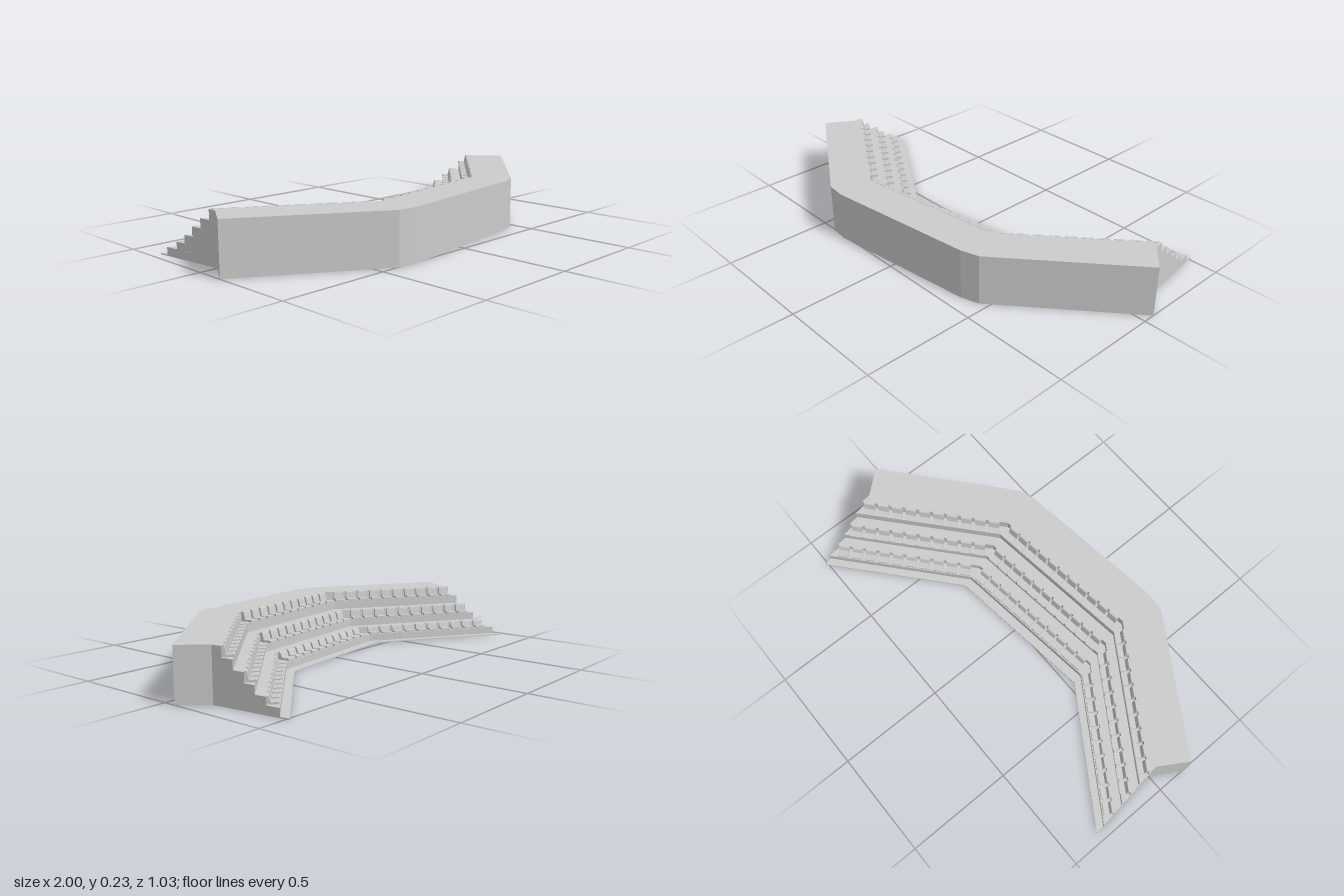
import * as THREE from 'three';

export function createModel() {
  const group = new THREE.Group();
  group.name = 'grandstand';
  const mat = new THREE.MeshStandardMaterial({ color: 0xcccccc, flatShading: true });

  // Plan of the lowest, innermost edge; every tier is this line shifted along "shift"
  const inner = [[-0.96, -0.345], [-0.38, 0.03], [0.33, -0.055], [0.86, -0.515]];
  const shift = [0.128, 1];
  const moved = (d) => inner.map(([x, z]) => [x + shift[0] * d, z + shift[1] * d]);
  // Outer wall with bevelled corners, including the bends in the end walls
  const outer = [[0.905, -0.165], [1, -0.055], [0.462, 0.403], [0.38, 0.429],
    [-0.325, 0.514], [-0.412, 0.505], [-1, 0.13], [-0.92, 0]];

  // Setback and top height of each tier
  const tiers = [[0, 0.005], [0.042, 0.038], [0.103, 0.07], [0.153, 0.106],
    [0.201, 0.148], [0.252, 0.189], [0.304, 0.233]];

  let base = 0;
  tiers.forEach(([d, top], i) => {
    const plan = [...moved(d), ...outer].map(([x, z]) => new THREE.Vector2(x, -z));
    const geo = new THREE.ExtrudeGeometry(new THREE.Shape(plan), { depth: top - base, bevelEnabled: false });
    geo.rotateX(-Math.PI / 2);
    const tier = new THREE.Mesh(geo, mat);
    tier.position.y = base;
    tier.name = `tier${i + 1}`;
    group.add(tier);
    base = top;
  });

  // Seat: low pad with a leaning back, extruded across its width
  const seatWidth = 0.05;
  function seatGeometry(height) {
    const side = [[0, 0], [0, 0.009], [0.004, 0.011], [0.036, 0.008], [0.044, height - 0.004],
      [0.047, height], [0.057, height], [0.057, 0]];
    const shape = new THREE.Shape(side.map(([z, y]) => new THREE.Vector2(z, y)));
    const geo = new THREE.ExtrudeGeometry(shape, { depth: seatWidth, bevelEnabled: false });
    // Profile runs along +z, width along x
    geo.translate(0, 0, -seatWidth / 2);
    geo.rotateY(-Math.PI / 2);
    return geo;
  }

  // Three rows of seats, on every second tier
  [1, 3, 5].forEach((t, r) => {
    const [d, floor] = tiers[t];
    const depth = tiers[t + 1][0] - d;
    const geo = seatGeometry(tiers[t + 1][1] - floor + 0.001);
    const row = new THREE.Group();
    row.name = `seatRow${r + 1}`;
    const line = moved(d);
    for (let s = 0; s < 3; s++) {
      const [ax, az] = line[s], [bx, bz] = line[s + 1];
      const len = Math.hypot(bx - ax, bz - az);
      const u = [(bx - ax) / len, (bz - az) / len];
      const n = [-u[1], u[0]];
      // Tier depth measured square to this section
      const square = shift[0] * n[0] + shift[1] * n[1];
      const count = s === 1 ? 11 : 10;
      const lean = shift[0] * u[0] + shift[1] * u[1];
      for (let i = 0; i < count; i++) {
        const along = 0.05 + ((len - 0.1) * i) / (count - 1) + lean * depth * 0.5;
        const seat = new THREE.Mesh(geo, mat);
        const back = depth * square - 0.056 * square;
        seat.position.set(ax + u[0] * along + n[0] * back, floor, az + u[1] * along + n[1] * back);
        seat.rotation.y = Math.atan2(-u[1], u[0]);
        seat.scale.z = square;
        seat.name = 'seat';
        row.add(seat);
      }
    }
    group.add(row);
  });

  return group;
}
